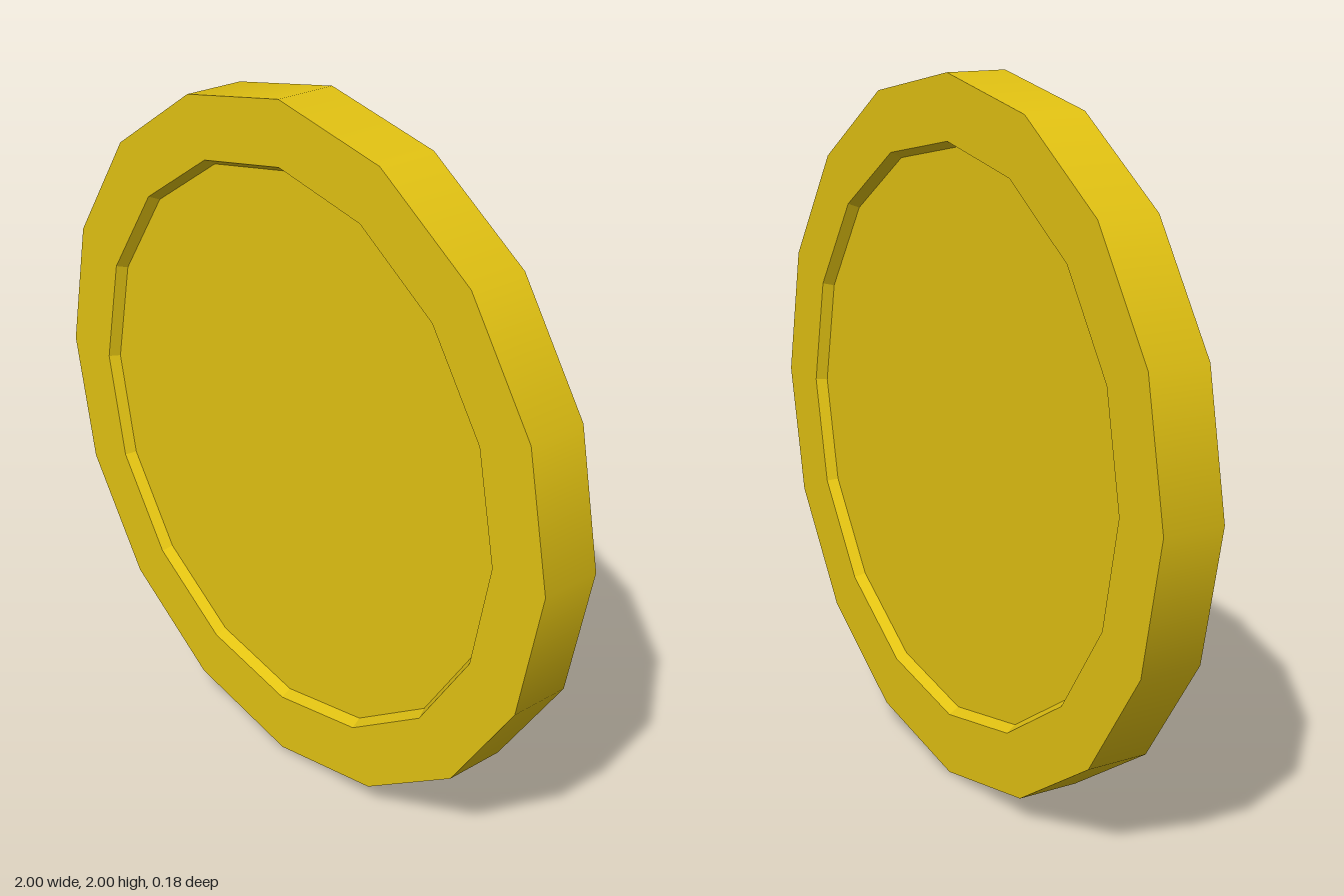
import * as THREE from 'three';

const SIDES = 16;
const OUTER = 1, RIM = 0.82, FLOOR = 0.803; // radii
const HALF = 0.09, FLOOR_Z = 0.06; // half thickness, recessed face height

export function createModel() {
  const gold = new THREE.MeshStandardMaterial({ color: 0xe2c212 });
  gold.name = 'gold';

  const coin = new THREE.Group();
  coin.name = 'coin';

  const add = (parent, name, geometry) => {
    const mesh = new THREE.Mesh(geometry, gold);
    mesh.name = name;
    parent.add(mesh);
    return mesh;
  };

  // Outer edge, shaded smoothly around the polygon
  add(coin, 'outerEdge',
    new THREE.CylinderGeometry(OUTER, OUTER, 2 * HALF, SIDES, 1, true).rotateX(Math.PI / 2));

  // Each face: flat raised rim, faceted bevel facing inwards, recessed disc
  const addFace = (name, turn) => {
    const face = new THREE.Group();
    face.name = name;
    face.rotation.y = turn;

    add(face, 'raisedRim', new THREE.RingGeometry(RIM, OUTER, SIDES, 1)).position.z = HALF;

    const bevel = new THREE.LatheGeometry(
      [new THREE.Vector2(RIM, HALF), new THREE.Vector2(FLOOR, FLOOR_Z)], SIDES)
      .rotateX(Math.PI / 2).toNonIndexed();
    bevel.computeVertexNormals();
    add(face, 'innerBevel', bevel);

    add(face, 'recessedDisc', new THREE.CircleGeometry(FLOOR, SIDES)).position.z = FLOOR_Z;
    coin.add(face);
  };
  addFace('frontFace', 0);
  addFace('backFace', Math.PI);

  // Stand the coin on the ground
  coin.position.y = OUTER;
  const model = new THREE.Group();
  model.name = 'standingCoin';
  model.add(coin);
  return model;
}
